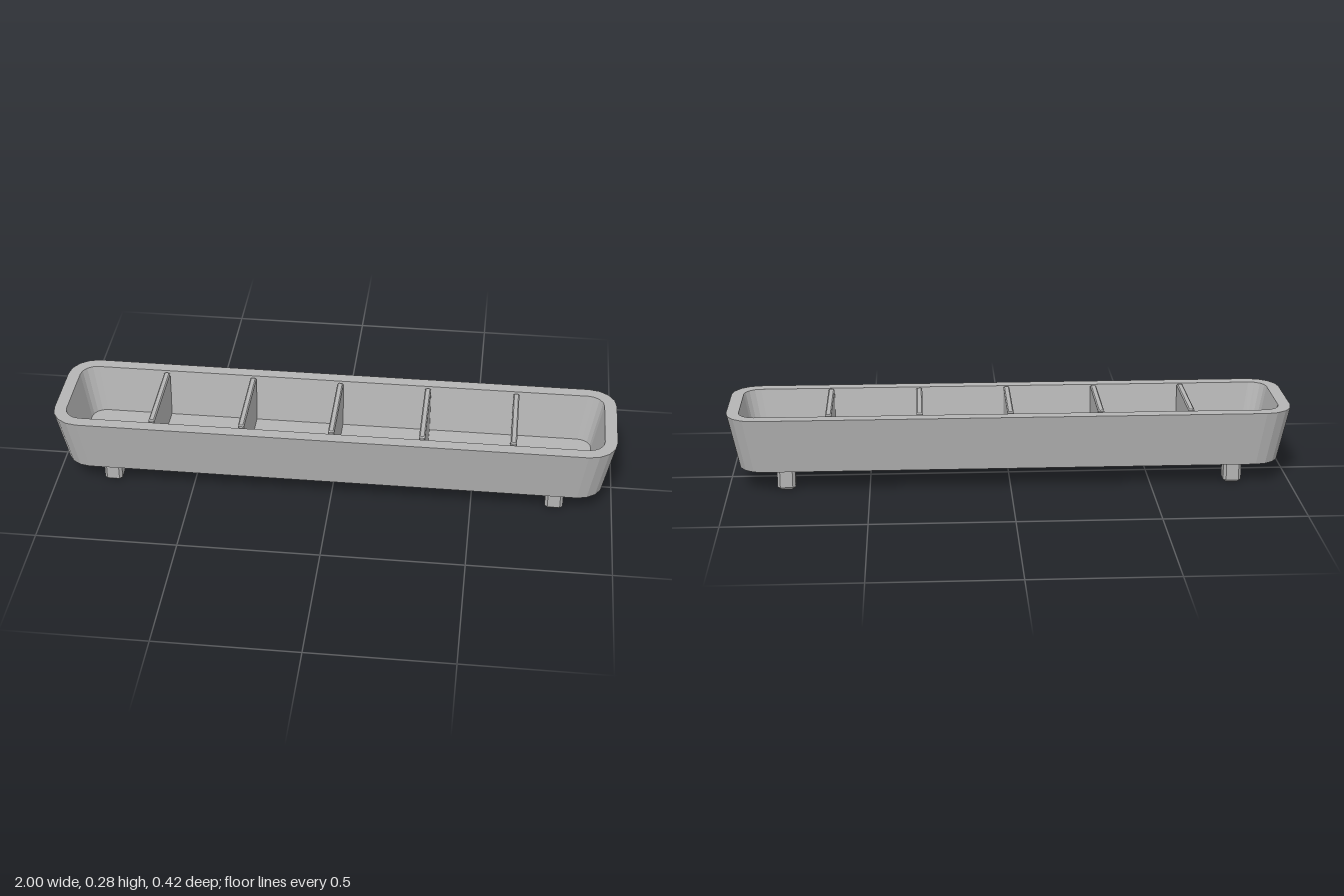
import * as THREE from 'three';

// Loft through rounded-rectangle rings [y, halfX, halfZ, cornerRadius], capped at both ends
function loft(rings, seg) {
  const loops = rings.map(([y, hx, hz, r]) => {
    const pts = [];
    for (let q = 0; q < 4; q++) {
      const sx = q === 0 || q === 3 ? 1 : -1, sz = q < 2 ? 1 : -1;
      for (let i = 0; i <= seg; i++) {
        const a = (q + i / seg) * Math.PI / 2;
        pts.push([sx * (hx - r) + r * Math.cos(a), y, sz * (hz - r) + r * Math.sin(a)]);
      }
    }
    return pts;
  });
  const pos = [], n = loops[0].length, last = loops.length - 1;
  const tri = (...p) => p.forEach(v => pos.push(...v));
  for (let j = 0; j < n; j++) {
    const k = (j + 1) % n;
    for (let i = 0; i < last; i++) {
      const a = loops[i][j], b = loops[i][k], c = loops[i + 1][k], d = loops[i + 1][j];
      tri(a, d, c);
      tri(a, c, b);
    }
    tri([0, rings[0][0], 0], loops[0][j], loops[0][k]);
    tri([0, rings[last][0], 0], loops[last][k], loops[last][j]);
  }
  const g = new THREE.BufferGeometry();
  g.setAttribute('position', new THREE.Float32BufferAttribute(pos, 3));
  g.computeVertexNormals();
  return g;
}

// Box with chamfered edges, from y0 to y1
const chamferBox = (hx, hz, y0, y1, c) => loft([
  [y0, hx - c, hz - c, c * 0.5], [y0 + c, hx, hz, c],
  [y1 - c, hx, hz, c], [y1, hx - c, hz - c, c * 0.5],
], 1);

export function createModel() {
  const group = new THREE.Group();
  const grey = new THREE.MeshStandardMaterial({ color: 0xb4b4b4 });
  grey.name = 'grey plastic';
  const add = (name, geometry, x = 0, z = 0) => {
    const m = new THREE.Mesh(geometry, grey);
    m.name = name;
    m.position.set(x, 0, z);
    group.add(m);
  };

  // Tapered tray: outer wall, rim, inner wall, floor
  add('tray', loft([
    [0.078, 0.962, 0.181, 0.09],
    [0.277, 1.0, 0.212, 0.1],
    [0.277, 0.956, 0.168, 0.058],
    [0.105, 0.92, 0.14, 0.05],
  ], 4));

  // Five dividers making six compartments
  const divider = chamferBox(0.011, 0.155, 0.095, 0.279, 0.004);
  for (let i = -2; i <= 2; i++) add('divider', divider, i * 0.32);

  // Four short feet with chamfered edges
  const foot = chamferBox(0.032, 0.032, 0, 0.092, 0.01);
  for (const x of [-0.795, 0.795])
    for (const z of [-0.122, 0.122]) add('foot', foot, x, z);

  return group;
}
